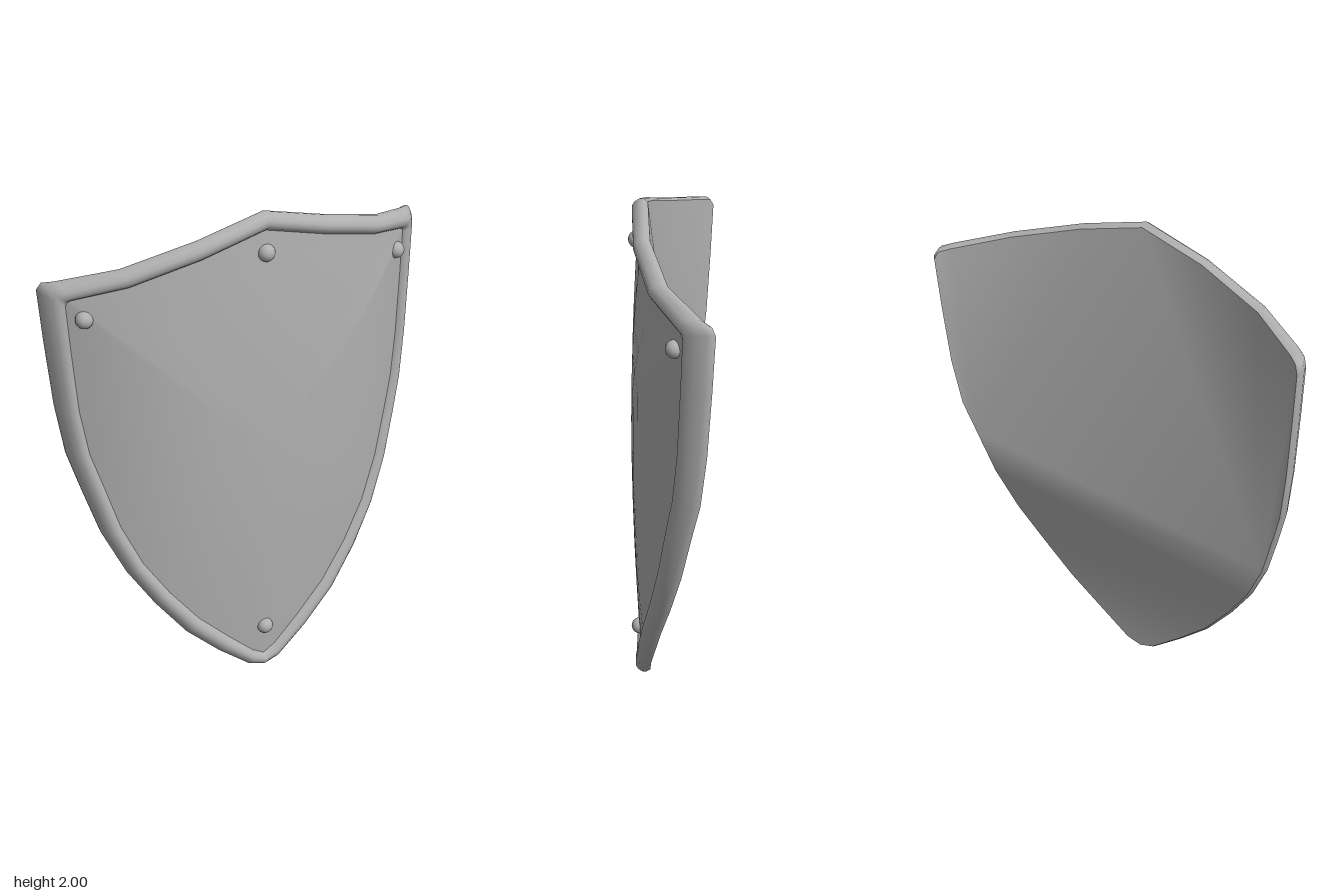
import * as THREE from 'three';

// half outlines from top point down to bottom tip: outer x, y, inner x, y
const HALF = [
  [0, 2, 0, 1.93], [.26, 1.93, .25, 1.86], [.53, 1.852, .51, 1.785], [.73, 1.8, .69, 1.737],
  [.768, 1.79, .702, 1.73], [.783, 1.76, .708, 1.715], [.772, 1.55, .7, 1.54], [.755, 1.3, .685, 1.29],
  [.73, 1.1, .66, 1.11], [.69, .95, .62, .97], [.635, .76, .57, .79], [.555, .58, .495, .615],
  [.455, .42, .4, .465], [.335, .26, .285, .315], [.2, .13, .16, .19], [.065, .018, .05, .085], [0, 0, 0, .055],
];
const LOOP = [...HALF, ...HALF.slice(1, -1).reverse().map(([a, b, c, d]) => [-a, b, -c, d])];
const N = LOOP.length;
const CENTRE_Y = 1.05;

// sideways curvature of the shield, and lift measured along its normal
const bow = (x) => .085 - .203 * x * x - .355 * x ** 4;
const slope = (x) => -.406 * x - 1.42 * x ** 3;
const lifted = (x, lift) => bow(x) + lift * Math.hypot(1, slope(x));
const faceZ = (x, s) => lifted(x, .035) + .033 * (1 - s * s);

function rimRing(inset, lift) {
  return LOOP.map(([ox, oy, ix, iy]) => {
    const t = inset / .075;
    const x = ox + (ix - ox) * t;
    return [x, oy + (iy - oy) * t, lifted(x, lift)];
  });
}

function faceRing(s) {
  return LOOP.map(([, , ix, iy]) => [ix * s, CENTRE_Y + (iy - CENTRE_Y) * s, faceZ(ix * s, s)]);
}

function build(points, index) {
  const g = new THREE.BufferGeometry();
  g.setAttribute('position', new THREE.Float32BufferAttribute(points.flat(), 3));
  g.setIndex(index);
  g.computeVertexNormals();
  return g;
}

// joins closed rings, ordered from outside to inside; optional middle point
function loft(rings, middle) {
  const points = rings.flat();
  const index = [];
  for (let r = 0; r < rings.length - 1; r++) {
    for (let i = 0; i < N; i++) {
      const j = (i + 1) % N;
      const a = r * N + i, b = r * N + j, c = a + N, d = b + N;
      index.push(a, c, b, c, d, b);
    }
  }
  if (middle) {
    const base = (rings.length - 1) * N;
    for (let i = 0; i < N; i++) index.push(base + i, points.length, base + (i + 1) % N);
    points.push(middle);
  }
  return build(points, index);
}

// flat-spanned back, folded along one slanting chord
function backGeometry(ring) {
  const tip = HALF.length - 1;
  const right = 9, left = N - 10;
  const index = [0, right, left];
  for (let i = 0; i < right - 1; i++) index.push(right, i, i + 1);
  for (let i = left + 1; i < N; i++) index.push(left, i, (i + 1) % N);
  // strips from the fold down to the tip
  let a = right, b = left;
  while (a < tip - 1 || b > tip + 1) {
    if (a < tip - 1) { index.push(a, a + 1, b); a++; }
    if (b > tip + 1) { index.push(a, b - 1, b); b--; }
  }
  index.push(a, tip, b);
  return build(ring, index);
}

export function createModel() {
  const group = new THREE.Group();
  const metal = new THREE.MeshStandardMaterial({ color: 0xb0b0b0 });
  metal.name = 'grey metal';
  const add = (name, geometry) => {
    const mesh = new THREE.Mesh(geometry, metal);
    mesh.name = name;
    group.add(mesh);
    return mesh;
  };

  // rounded rim
  const section = [[.012, 0], [.002, .015], [0, .03], [.012, .048], [.03, .059], [.048, .059], [.064, .05], [.075, .035]];
  add('rim', loft(section.map(([inset, lift]) => rimRing(inset, lift))));

  // gently domed front
  const rings = [1, .92, .8, .65, .5, .33, .16].map(faceRing);
  add('frontPlate', loft(rings, [0, CENTRE_Y, faceZ(0, 0)]));

  // closed back
  add('backPlate', backGeometry(rimRing(.012, 0)));

  // rivets, turned to follow the curve
  for (const [x, y, s] of [[0, 1.845, .9], [.655, 1.665, .96], [-.655, 1.665, .96], [0, .2, .86]]) {
    const rivet = add('rivet', new THREE.SphereGeometry(.033, 16, 10));
    rivet.position.set(x, y, faceZ(x, s));
    rivet.rotation.y = Math.atan(-slope(x));
  }
  return group;
}
